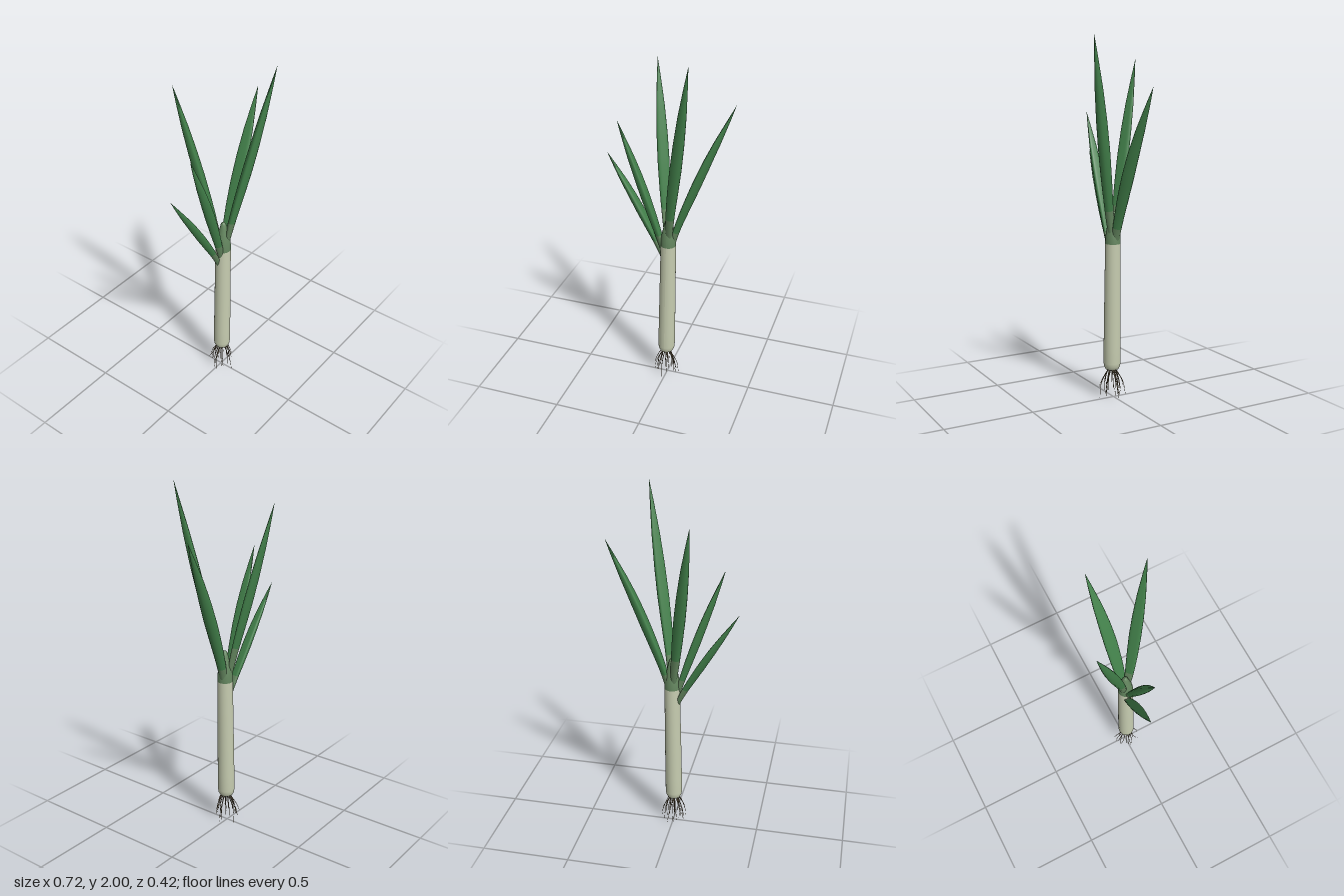
import * as THREE from 'three';

const mat = (name, color, side = THREE.FrontSide) => {
  const m = new THREE.MeshStandardMaterial({ color, side });
  m.name = name;
  return m;
};

const V = (x, y, z) => new THREE.Vector3(x, y, z);

// Leaf: lofted crescent section along a curve; lower rows use the sheath material
function leafGeometry(points, width, thick, sheathTop) {
  const curve = new THREE.CatmullRomCurve3(points);
  const tip = points[points.length - 1], base = points[0];
  const side = V(tip.z - base.z, 0, base.x - tip.x).normalize();
  const rows = 32, cols = 16, pos = [], idx = [];
  const profile = [[0, 0.5], [0.12, 0.72], [0.3, 0.92], [0.45, 1], [0.6, 0.92], [0.75, 0.7], [0.9, 0.32], [1, 0.01]]
    .map(([t, w]) => new THREE.Vector2(t, w));
  const widthAt = t => {
    const k = Math.max(1, profile.findIndex(p => p.x >= t));
    const a = profile[k - 1], b = profile[k];
    return THREE.MathUtils.lerp(a.y, b.y, (t - a.x) / (b.x - a.x));
  };
  let sheathRows = 0;
  for (let i = 0; i <= rows; i++) {
    const t = i / rows, c = curve.getPointAt(t), tan = curve.getTangentAt(t);
    const inward = tan.clone().cross(side).normalize();
    const w = widthAt(t) * width / 2, h = widthAt(t) * thick / 2;
    if (c.y <= sheathTop) sheathRows = i;
    for (let j = 0; j < cols; j++) {
      const a = j / cols * Math.PI * 2, ca = Math.cos(a);
      const p = c.clone().addScaledVector(side, ca * w)
        .addScaledVector(inward, Math.sin(a) * h + (ca * ca - 0.5) * h * 0.5);
      pos.push(p.x, p.y, p.z);
    }
  }
  for (let i = 0; i < rows; i++) for (let j = 0; j < cols; j++) {
    const a = i * cols + j, b = i * cols + (j + 1) % cols;
    idx.push(a, b, a + cols, b, b + cols, a + cols);
  }
  const g = new THREE.BufferGeometry();
  g.setAttribute('position', new THREE.Float32BufferAttribute(pos, 3));
  g.setIndex(idx);
  g.computeVertexNormals();
  const split = sheathRows * cols * 6;
  g.addGroup(0, split, 0);
  g.addGroup(split, idx.length - split, 1);
  return g;
}

// Lathe whose axis leans slightly with height
function leaningLathe(profile) {
  const g = new THREE.LatheGeometry(profile.map(([r, y]) => new THREE.Vector2(r, y)), 32);
  const p = g.attributes.position;
  for (let i = 0; i < p.count; i++) {
    p.setX(i, p.getX(i) - 0.005 + 0.015 * p.getY(i));
    p.setZ(i, p.getZ(i) + 0.008);
  }
  g.computeVertexNormals();
  return g;
}

export function createModel() {
  const model = new THREE.Group();
  const white = mat('pale stem', 0xc6ccb0);
  const sheath = mat('sheath green', 0x64865f);
  const green = mat('leaf green', 0x42804a);
  const brown = mat('root brown', 0x6b5d45);
  const add = (name, geometry, material, parent = model) => {
    const mesh = new THREE.Mesh(geometry, material);
    mesh.name = name;
    parent.add(mesh);
  };

  // Stem with rounded foot
  add('stem', leaningLathe([[0, 0.16], [0.022, 0.161], [0.036, 0.168], [0.045, 0.184], [0.048, 0.205],
    [0.048, 0.3], [0.046, 0.55], [0.043, 0.885]]), white);

  // Green neck closing into a rounded bud
  add('neck', leaningLathe([[0.043, 0.885], [0.042, 0.92], [0.036, 0.965], [0.027, 1.0], [0.02, 1.03],
    [0.015, 1.052], [0.008, 1.063], [0, 1.066]]), sheath);

  // Leaves: base, bend, tip, width, thickness, top of the sheath-coloured part
  const leaves = [
    [V(0.016, 0.9, 0.018), V(0.028, 1.05, 0.042), V(0.1, 1.52, 0.125), V(0.175, 2.0, 0.21), 0.066, 0.05, 1.1],
    [V(0.0, 0.9, -0.008), V(-0.017, 1.05, -0.03), V(-0.07, 1.47, -0.118), V(-0.125, 1.885, -0.21), 0.066, 0.05, 1.09],
    [V(0.022, 0.86, 0.004), V(0.052, 0.99, 0.002), V(0.19, 1.36, -0.008), V(0.357, 1.74, -0.03), 0.074, 0.05, 0.98],
    [V(-0.012, 0.82, 0.012), V(-0.04, 0.93, 0.014), V(-0.145, 1.25, 0.018), V(-0.273, 1.595, 0.02), 0.06, 0.046, 0.95],
    [V(-0.015, 0.775, 0.002), V(-0.05, 0.86, -0.004), V(-0.185, 1.1, -0.022), V(-0.36, 1.375, -0.042), 0.052, 0.042, 0.9],
  ];
  const foliage = new THREE.Group();
  foliage.name = 'leaves';
  model.add(foliage);
  leaves.forEach(([a, b, c, d, w, t, s], i) =>
    add('leaf' + (i + 1), leafGeometry([a, b, c, d], w, t, s), [sheath, green], foliage));

  // Roots: thin tubes arching outward and down
  const roots = new THREE.Group();
  roots.name = 'roots';
  model.add(roots);
  let seed = 11;
  const rand = () => (seed = (seed * 16807) % 2147483647) / 2147483647;
  const count = 24;
  for (let i = 0; i < count; i++) {
    const a = (i + 0.6 * rand()) * 2.399963, reach = 0.035 + 0.048 * rand();
    const start = 0.008 + 0.02 * rand(), end = i === 0 ? 0.002 : 0.005 + 0.055 * rand();
    const twist = (rand() - 0.5) * 0.5;
    const at = (r, y, da) => V(-0.002 + r * Math.cos(a + da), y, 0.01 + r * Math.sin(a + da));
    const curve = new THREE.CatmullRomCurve3([
      at(start, 0.168, 0), at(start + (reach - start) * 0.35, 0.14, 0),
      at(start + (reach - start) * 0.8, 0.09, twist * 0.4), at(reach, end, twist)]);
    const g = new THREE.TubeGeometry(curve, 12, 0.0028, 6);
    // Taper each root toward its end
    const p = g.attributes.position, v = V();
    for (let k = 0; k < p.count; k++) {
      const t = Math.floor(k / 7) / 12, c = curve.getPointAt(t);
      v.fromBufferAttribute(p, k).sub(c).multiplyScalar(1 - 0.75 * t).add(c);
      p.setXYZ(k, v.x, v.y, v.z);
    }
    add('root' + (i + 1), g, brown, roots);
  }
  return model;
}
